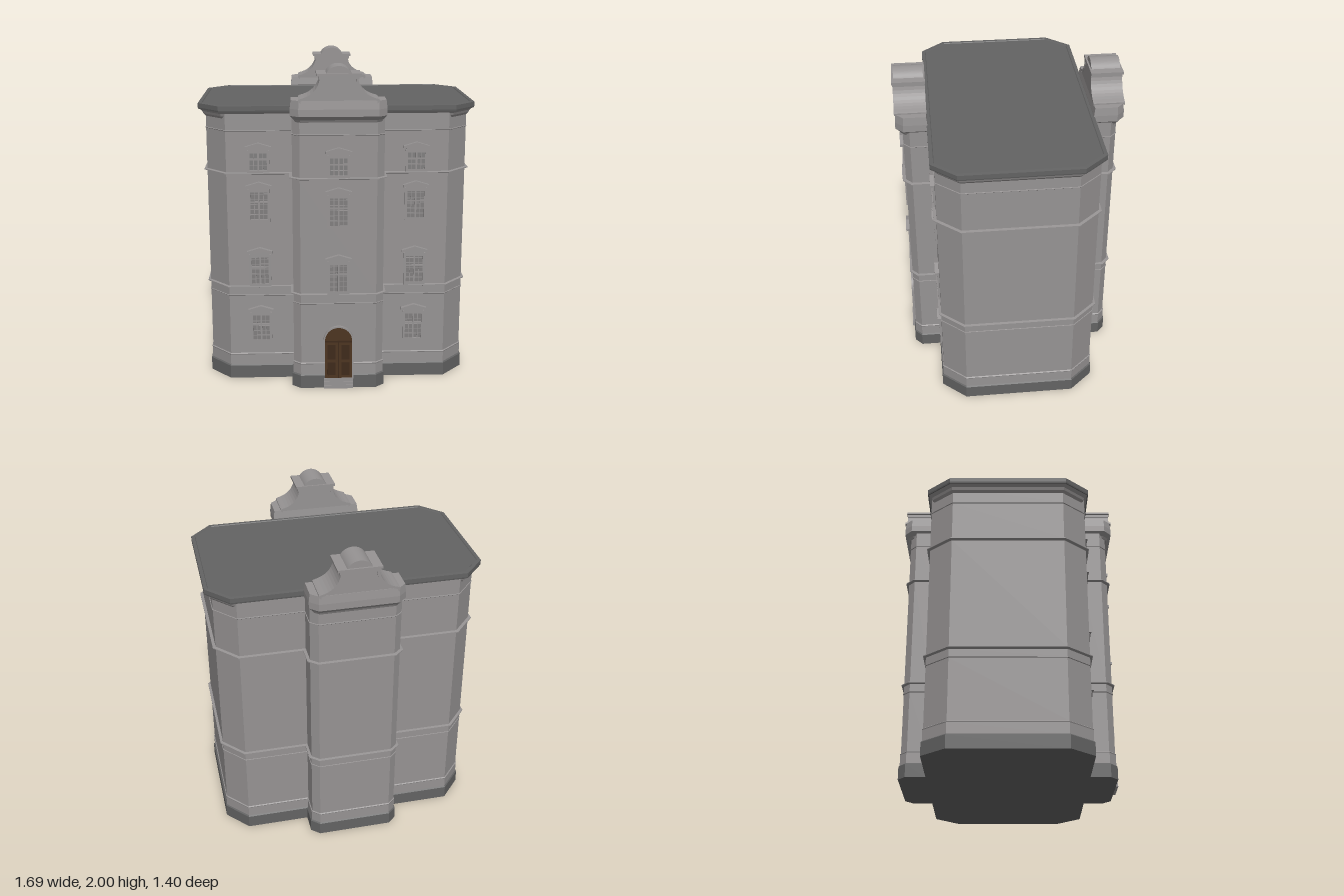
import * as THREE from 'three';

const mat = (name, color) => {
  const m = new THREE.MeshStandardMaterial({ color });
  m.name = name;
  return m;
};

// Mirror one quadrant of [x, z] points into a closed outline
function mirrorFour(q) {
  const r = [...q].reverse();
  return [...q, ...r.map(([x, z]) => [-x, z]), ...q.map(([x, z]) => [-x, -z]), ...r.map(([x, z]) => [x, -z])];
}

// Move every edge of an outline outwards by d, with mitred corners
function offset(pts, d) {
  const n = pts.length;
  const normal = (a, b) => new THREE.Vector2(b[1] - a[1], a[0] - b[0]).normalize();
  return pts.map((p, i) => {
    const n1 = normal(pts[(i + n - 1) % n], p), n2 = normal(p, pts[(i + 1) % n]);
    const k = d / (1 + n1.dot(n2));
    return [p[0] + (n1.x + n2.x) * k, p[1] + (n1.y + n2.y) * k];
  });
}

// Stack outlines along a profile of [y, offset] and close both ends
function loft(outline, profile) {
  const pos = [];
  const rings = profile.map(([y, d]) => offset(outline, d).map(([x, z]) => [x, y, z]));
  const n = outline.length;
  for (let k = 0; k < rings.length - 1; k++) {
    for (let i = 0; i < n; i++) {
      const j = (i + 1) % n;
      const a = rings[k][i], b = rings[k][j], c = rings[k + 1][j], d = rings[k + 1][i];
      pos.push(...a, ...d, ...c, ...a, ...c, ...b);
    }
  }
  for (const [ring, up] of [[rings[0], false], [rings[rings.length - 1], true]]) {
    const flat = ring.map((p) => new THREE.Vector2(p[0], p[2]));
    for (const [a, b, c] of THREE.ShapeUtils.triangulateShape(flat, [])) {
      const area = THREE.ShapeUtils.area([flat[a], flat[b], flat[c]]);
      const tri = (area < 0) === up ? [a, b, c] : [a, c, b];
      tri.forEach((i) => pos.push(...ring[i]));
    }
  }
  const g = new THREE.BufferGeometry();
  g.setAttribute('position', new THREE.Float32BufferAttribute(pos, 3));
  g.computeVertexNormals();
  return g;
}

const shapeOf = (pts) => new THREE.Shape(pts.map(([x, y]) => new THREE.Vector2(x, y)));

function extrude(shape, z0, z1) {
  return new THREE.ExtrudeGeometry(shape, { depth: z1 - z0, bevelEnabled: false, curveSegments: 16 }).translate(0, 0, z0);
}

function add(parent, name, geometry, material) {
  const m = new THREE.Mesh(geometry, material);
  m.name = name;
  parent.add(m);
  return m;
}

// Box given by its limits
const block = (x0, x1, y0, y1, z0, z1) =>
  new THREE.BoxGeometry(x1 - x0, y1 - y0, z1 - z0).translate((x0 + x1) / 2, (y0 + y1) / 2, (z0 + z1) / 2);

// Window with its sill at y = 0 and the wall at z = 0
function makeWindow(h, wall, pane) {
  const g = new THREE.Group();
  g.name = 'window';
  const frame = shapeOf([[-0.067, 0], [0.067, 0], [0.067, h + 0.02], [-0.067, h + 0.02]]);
  frame.holes.push(new THREE.Path([[-0.052, 0.015], [-0.052, h], [0.052, h], [0.052, 0.015]].map((p) => new THREE.Vector2(...p))));
  add(g, 'windowFrame', extrude(frame, -0.005, 0.012), wall);
  add(g, 'windowPane', block(-0.053, 0.053, 0.014, h + 0.001, -0.003, 0.003), pane);
  add(g, 'mullion', block(-0.005, 0.005, 0.015, h, 0, 0.009), wall);
  add(g, 'transom', block(-0.052, 0.052, h * 0.64, h * 0.64 + 0.01, 0, 0.009), wall);
  // Fine grille bars
  for (const x of [-0.028, 0.028]) add(g, 'grilleBar', block(x - 0.002, x + 0.002, 0.015, h, 0, 0.006), wall);
  for (let y = 0.045; y < h - 0.01; y += 0.032) add(g, 'grilleBar', block(-0.052, 0.052, y - 0.002, y + 0.002, 0, 0.006), wall);
  // Shallow pediment
  add(g, 'pedimentField', extrude(shapeOf([[-0.06, h + 0.02], [0.06, h + 0.02], [0.06, h + 0.04], [0, h + 0.055], [-0.06, h + 0.04]]), -0.005, 0.014), wall);
  add(g, 'pediment', extrude(shapeOf([[-0.079, h + 0.026], [-0.06, h + 0.03], [0, h + 0.048], [0.06, h + 0.03], [0.079, h + 0.026],
    [0.079, h + 0.042], [0, h + 0.066], [-0.079, h + 0.042]]), -0.005, 0.026), wall);
  return g;
}

// Curved gable above the front bay
function makeGable(wall) {
  const g = new THREE.Group();
  g.name = 'gable';
  const foot = [[0.285, 0.5], [0.285, 0.645], [0.235, 0.692], [-0.235, 0.692], [-0.285, 0.645], [-0.285, 0.5]];
  add(g, 'gableBase', loft(foot, [[1.67, -0.03], [1.685, -0.022], [1.708, 0], [1.75, 0], [1.8, -0.006]]), wall);

  const curve = new THREE.QuadraticBezierCurve(new THREE.Vector2(0.225, 1.812), new THREE.Vector2(0.13, 1.835), new THREE.Vector2(0.112, 1.92));
  const half = [[0.235, 1.795], [0.235, 1.808], ...curve.getPoints(8).map((p) => [p.x, p.y]), [0.112, 1.94]];
  const mirrored = (pts) => [...pts, ...[...pts].reverse().map(([x, y]) => [-x, y])];
  add(g, 'gableWall', extrude(shapeOf(mirrored(half)), 0.505, 0.682), wall);
  // Raised edging along both curves
  const inner = half.map(([x, y]) => [x - 0.013, y - 0.01]);
  const edge = [...half, ...inner.reverse()];
  add(g, 'gableEdging', extrude(shapeOf(edge), 0.502, 0.695), wall);
  add(g, 'gableEdging', extrude(shapeOf(edge.map(([x, y]) => [-x, y]).reverse()), 0.502, 0.695), wall);
  // Ledge and rounded cap
  add(g, 'gableLedge', block(-0.118, 0.118, 1.925, 1.942, 0.502, 0.695), wall);
  add(g, 'gableLedge', block(-0.13, 0.13, 1.942, 1.957, 0.5, 0.7), wall);
  const cap = new THREE.Shape();
  const a = Math.asin(0.04 / 0.085);
  cap.absarc(0, 1.915, 0.085, a, Math.PI - a, false);
  add(g, 'gableCap', extrude(cap, 0.51, 0.688), wall);
  return g;
}

function archShape(w, y0, spring) {
  const s = new THREE.Shape();
  s.moveTo(-w, y0);
  s.lineTo(w, y0);
  s.lineTo(w, spring);
  s.absarc(0, spring, w, 0, Math.PI, false);
  s.lineTo(-w, y0);
  return s;
}

export function createModel() {
  const root = new THREE.Group();
  root.name = 'townHouse';
  const wall = mat('wall grey', 0x969393);
  const dark = mat('dark grey', 0x636363);
  const pane = mat('window grey', 0x807e7e);
  const brown = mat('door brown', 0x4c3420);
  const darkBrown = mat('door panel brown', 0x3e2a1a);

  // Walls with string courses, on a plinth
  const plan = mirrorFour([[0.8, 0.34], [0.675, 0.48], [0.275, 0.48], [0.275, 0.61], [0.23, 0.65]]);
  const profile = [[0.085, 0.004], [0.155, 0.004], [0.16, 0.006], [0.165, 0]];
  for (const [y, h, d] of [[0.548, 0.008, 0.004], [0.603, 0.014, 0.016], [1.325, 0.014, 0.018], [1.59, 0.008, 0.004]]) {
    profile.push([y, 0], [y + h * 0.4, d], [y + h * 0.8, d], [y + h, 0]);
  }
  profile.push([1.7, 0]);
  add(root, 'walls', loft(plan, profile), wall);
  add(root, 'plinth', loft(plan, [[0, 0.011], [0.082, 0.011], [0.09, 0.003]]), dark);

  // Cornice and flat roof with a low rim
  const roofPlan = mirrorFour([[0.845, 0.358], [0.712, 0.505]]);
  add(root, 'cornice', loft(roofPlan, [[1.665, -0.045], [1.68, -0.032], [1.695, -0.026], [1.712, -0.006]]), wall);
  add(root, 'roof', loft(roofPlan, [[1.71, -0.002], [1.718, 0], [1.745, 0], [1.747, -0.022], [1.742, -0.026]]), dark);

  // Gables on the front and the back
  for (const turn of [0, Math.PI]) {
    const gable = makeGable(wall);
    gable.rotation.y = turn;
    root.add(gable);
  }

  // Windows on the front
  const rows = [[0.24, 0.18], [0.615, 0.185], [1.03, 0.185], [1.338, 0.118]];
  rows.forEach(([y, h], row) => {
    for (const x of [-0.48, 0, 0.48]) {
      if (row === 0 && x === 0) continue;
      const w = makeWindow(h, wall, pane);
      w.position.set(x, y, x === 0 ? 0.65 : 0.48);
      root.add(w);
    }
  });

  // Arched double door with surround and steps
  const door = new THREE.Group();
  door.name = 'door';
  root.add(door);
  add(door, 'doorLeaves', extrude(archShape(0.084, 0.06, 0.315), 0.655, 0.664), brown);
  const surround = archShape(0.092, 0.06, 0.315);
  surround.holes.push(archShape(0.083, 0.059, 0.315));
  const ring = new THREE.Shape([...archShape(0.092, 0.06, 0.315).getPoints(16).slice(1, -1),
    ...archShape(0.083, 0.06, 0.315).getPoints(16).slice(1, -1).reverse()]);
  add(door, 'doorSurround', extrude(ring, 0.645, 0.668), wall);
  add(door, 'doorTransom', block(-0.083, 0.083, 0.303, 0.313, 0.66, 0.668), darkBrown);
  add(door, 'doorSeam', block(-0.003, 0.003, 0.066, 0.303, 0.66, 0.667), darkBrown);
  for (const s of [-1, 1]) {
    for (const [y0, y1] of [[0.085, 0.17], [0.19, 0.285]]) {
      add(door, 'doorPanel', block(s * 0.043 - 0.024, s * 0.043 + 0.024, y0, y1, 0.66, 0.666), darkBrown);
    }
  }
  for (let i = 0; i < 3; i++) {
    add(door, 'step', block(-0.09, 0.09, i * 0.022, (i + 1) * 0.022, 0.64, 0.676 - i * 0.004), wall);
  }
  return root;
}
